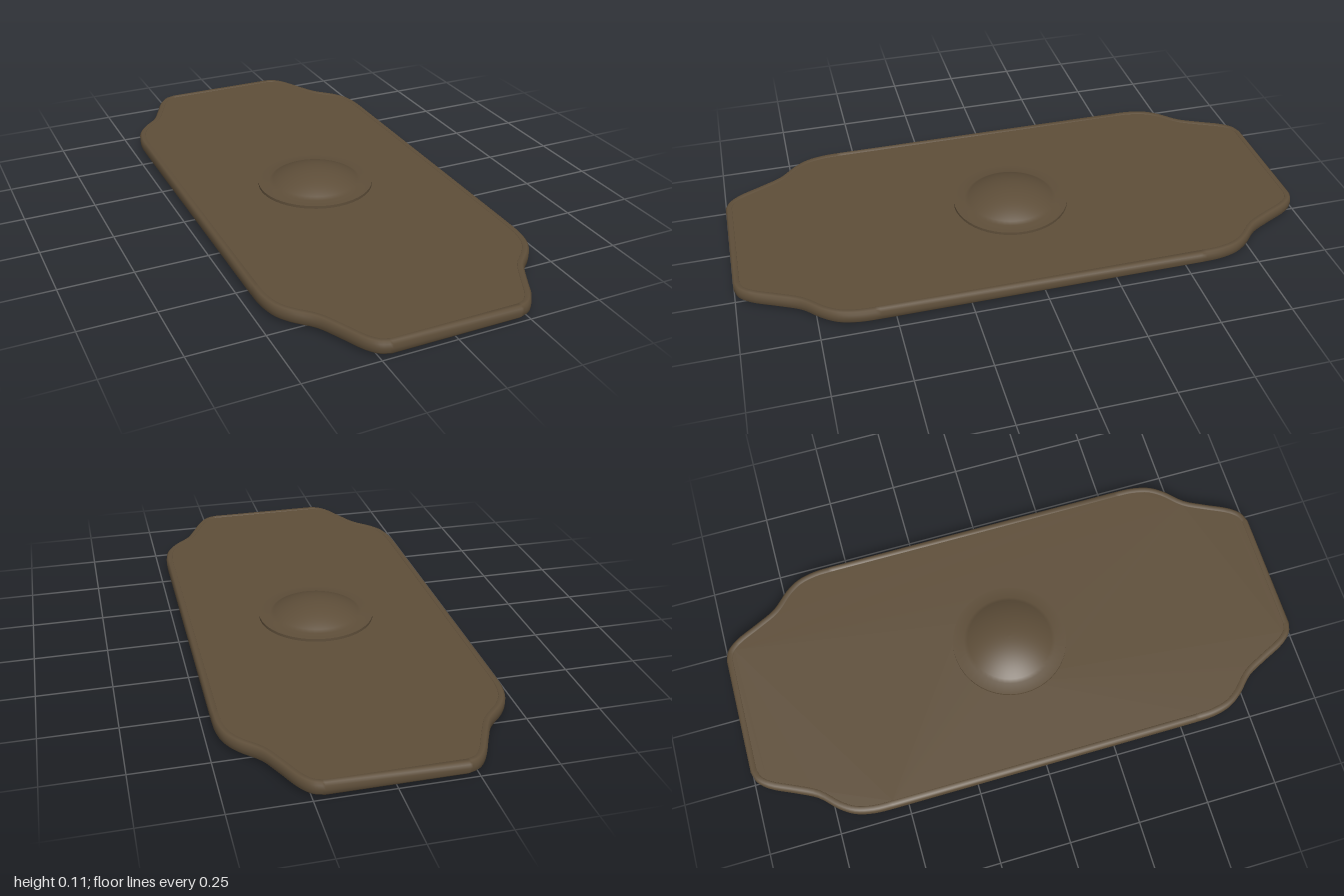
import * as THREE from 'three';

// One corner of the outline, from the end edge round to the long side
const CORNER = [
  [0.215, 1.0], [0.25, 0.987], [0.282, 0.952], [0.325, 0.865], [0.362, 0.795],
  [0.42, 0.735], [0.452, 0.685], [0.468, 0.62], [0.471, 0.55],
];

// Full outline, counter-clockwise in (x, z)
function makeOutline() {
  const curve = new THREE.CatmullRomCurve3(CORNER.map(([x, z]) => new THREE.Vector3(x, 0, z)), false, 'centripetal');
  const q = curve.getPoints(32).map((p) => new THREE.Vector2(p.x, p.z));
  const r = [...q].reverse();
  return [
    ...r,
    ...q.map((p) => new THREE.Vector2(-p.x, p.y)),
    ...r.map((p) => new THREE.Vector2(-p.x, -p.y)),
    ...q.map((p) => new THREE.Vector2(p.x, -p.y)),
  ];
}

// Move the outline inwards by d
function inset(points, d) {
  const n = points.length;
  return points.map((p, i) => {
    const t = points[(i + 1) % n].clone().sub(p).normalize()
      .add(p.clone().sub(points[(i + n - 1) % n]).normalize()).normalize();
    return new THREE.Vector2(p.x - t.y * d, p.y + t.x * d);
  });
}

// Sweep a cross-section of [inset, height] round the outline
function sweepRim(outline, section) {
  const pos = [];
  const index = [];
  const n = outline.length;
  for (const [d, y] of section) for (const p of inset(outline, d)) pos.push(p.x, y, p.y);
  for (let s = 0; s < section.length - 1; s++) {
    for (let i = 0; i < n; i++) {
      const a = s * n + i, b = s * n + (i + 1) % n;
      index.push(a, a + n, b, b, a + n, b + n);
    }
  }
  const g = new THREE.BufferGeometry();
  g.setAttribute('position', new THREE.Float32BufferAttribute(pos, 3));
  g.setIndex(index);
  g.computeVertexNormals();
  return g;
}

export function createModel() {
  const group = new THREE.Group();
  const brown = new THREE.MeshStandardMaterial({ color: 0x5e4e39, side: THREE.DoubleSide });
  brown.name = 'dark brown';
  const add = (name, geometry) => {
    const mesh = new THREE.Mesh(geometry, brown);
    mesh.name = name;
    group.add(mesh);
    return mesh;
  };
  const outline = makeOutline();

  // Flat board with a round opening behind the boss
  const shape = new THREE.Shape(inset(outline, 0.022));
  const hole = new THREE.Path();
  hole.absarc(0, 0, 0.19, 0, Math.PI * 2, true);
  shape.holes.push(hole);
  const board = new THREE.ExtrudeGeometry(shape, { depth: 0.036, bevelEnabled: false, curveSegments: 24 });
  board.rotateX(Math.PI / 2);
  board.translate(0, 0.05, 0);
  add('board', board);

  // Rounded edging
  add('rim', sweepRim(outline, [
    [0.024, 0.048], [0.022, 0.053], [0.008, 0.053], [0.001, 0.046], [0, 0.032],
    [0.001, 0.018], [0.008, 0.01], [0.022, 0.01], [0.024, 0.016],
  ]));

  // Hollow domed boss with a flange; doubled points make creases
  const profile = [];
  const N = 12;
  for (let i = 0; i <= N; i++) {
    const r = 0.15 * i / N;
    profile.push([r, 0.095 - 0.083 * (r / 0.15) ** 2]);
  }
  profile.push([0.165, 0.002], [0.18, 0], [0.205, 0], [0.205, 0], [0.205, 0.06], [0.205, 0.06], [0.165, 0.061]);
  const R = (0.165 ** 2 + 0.046 ** 2) / (2 * 0.046);
  for (let i = N - 1; i >= 0; i--) {
    const r = 0.165 * i / N;
    profile.push([r, 0.107 - R + Math.sqrt(R * R - r * r)]);
  }
  add('boss', new THREE.LatheGeometry(profile.map(([x, y]) => new THREE.Vector2(x, y)), 48));

  // Grip bar across the hollow
  const grip = new THREE.CylinderGeometry(0.011, 0.011, 0.32, 16);
  grip.rotateX(Math.PI / 2);
  add('handle', grip).position.y = 0.022;

  return group;
}
